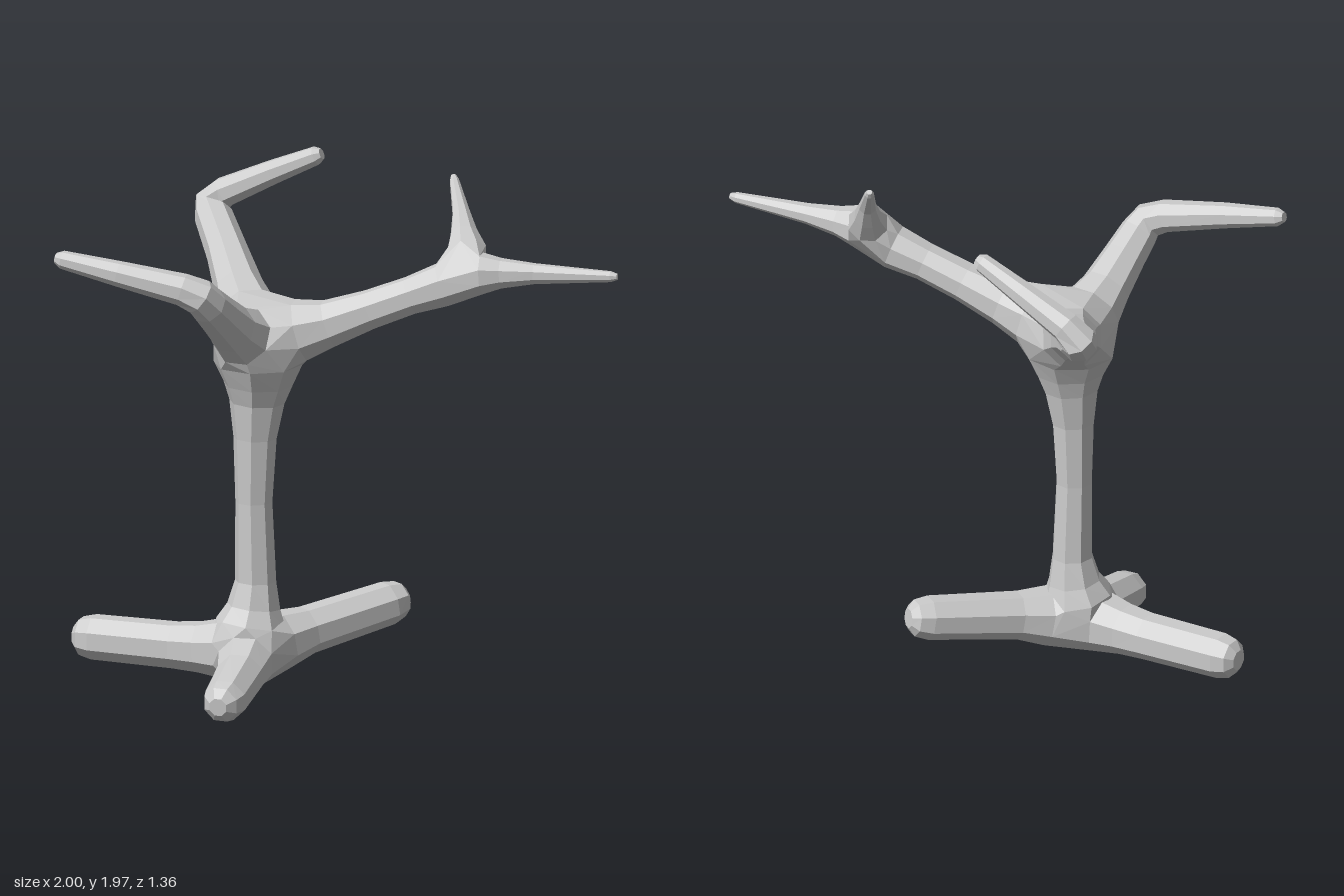
import * as THREE from 'three';
import { ConvexGeometry } from 'three/addons/geometries/ConvexGeometry.js';

const SIDES = 8;

// Octagonal rings along a path of [x, y, z, radius], with carried-over frames
function makeRings(path) {
  const pts = path.map(p => new THREE.Vector3(p[0], p[1], p[2]));
  const dirs = pts.map((p, i) => {
    const d = new THREE.Vector3();
    if (i > 0) d.add(p.clone().sub(pts[i - 1]).normalize());
    if (i < pts.length - 1) d.add(pts[i + 1].clone().sub(p).normalize());
    return d.normalize();
  });
  const u = Math.abs(dirs[0].y) > 0.9 ? new THREE.Vector3(1, 0, 0) : new THREE.Vector3(0, 1, 0);
  return pts.map((p, i) => {
    if (i > 0) u.applyQuaternion(new THREE.Quaternion().setFromUnitVectors(dirs[i - 1], dirs[i]));
    u.addScaledVector(dirs[i], -u.dot(dirs[i])).normalize();
    const v = dirs[i].clone().cross(u);
    return Array.from({ length: SIDES }, (_, j) => {
      const a = ((j + 0.5) / SIDES) * Math.PI * 2;
      return p.clone()
        .addScaledVector(u, Math.cos(a) * path[i][3])
        .addScaledVector(v, Math.sin(a) * path[i][3]);
    });
  });
}

// Skin between rings, closed at the far end
function limbGeometry(rings) {
  const verts = rings.flat();
  const idx = [];
  const last = rings.length - 1;
  const tip = rings[last].reduce((s, p) => s.add(p), new THREE.Vector3()).divideScalar(SIDES);
  verts.push(tip);
  for (let j = 0; j < SIDES; j++) {
    const k = (j + 1) % SIDES;
    for (let i = 0; i < last; i++) {
      const a = i * SIDES + j, b = i * SIDES + k;
      idx.push(a, b, a + SIDES, b, b + SIDES, a + SIDES);
    }
    idx.push(last * SIDES + j, last * SIDES + k, verts.length - 1);
  }
  const g = new THREE.BufferGeometry().setFromPoints(verts);
  g.setIndex(idx);
  g.computeVertexNormals();
  return g;
}

export function createModel() {
  const group = new THREE.Group();
  const mat = new THREE.MeshStandardMaterial({ color: 0xcccccc, flatShading: true });

  const add = (name, geo) => {
    const m = new THREE.Mesh(geo, mat);
    m.name = name;
    group.add(m);
  };
  const limb = (name, path) => {
    const rings = makeRings(path);
    add(name, limbGeometry(rings));
    return rings;
  };
  const hub = (name, ...rings) => add(name, new ConvexGeometry(rings.flat()));

  // Trunk, flared at both ends
  const trunk = limb('trunk', [
    [-0.31, 0.275, 0.005, 0.135], [-0.305, 0.34, -0.005, 0.102], [-0.3, 0.44, -0.01, 0.079],
    [-0.305, 0.75, -0.005, 0.071], [-0.3, 1.0, -0.005, 0.083], [-0.295, 1.14, -0.01, 0.106],
    [-0.29, 1.21, -0.01, 0.132], [-0.29, 1.29, -0.01, 0.17],
  ]);

  // Three blunt roots
  const rightRoot = limb('rightRoot', [
    [-0.41, 0.175, 0.05, 0.115], [-0.5, 0.17, 0.067, 0.098], [-0.6, 0.167, 0.085, 0.09],
    [-0.92, 0.168, 0.15, 0.087], [-0.97, 0.168, 0.16, 0.074], [-0.995, 0.168, 0.165, 0.04],
  ]);
  const frontRoot = limb('frontRoot', [
    [-0.27, 0.15, 0.11, 0.11], [-0.23, 0.128, 0.21, 0.092], [-0.165, 0.088, 0.42, 0.083],
    [-0.155, 0.083, 0.47, 0.07], [-0.148, 0.08, 0.5, 0.036],
  ]);
  const backRoot = limb('backRoot', [
    [-0.24, 0.2, -0.1, 0.113], [-0.19, 0.22, -0.2, 0.092], [-0.035, 0.273, -0.525, 0.084],
    [-0.013, 0.282, -0.575, 0.07], [-0.003, 0.285, -0.597, 0.038],
  ]);
  hub('rootHub', trunk[0], rightRoot[0], frontRoot[0], backRoot[0]);

  // Bent branches
  const backBranch = limb('backBranch', [
    [-0.42, 1.44, -0.14, 0.117], [-0.51, 1.5, -0.225, 0.095], [-0.65, 1.59, -0.365, 0.08],
    [-0.81, 1.68, -0.52, 0.073], [-0.838, 1.715, -0.555, 0.07], [-0.79, 1.76, -0.57, 0.06],
    [-0.6, 1.855, -0.612, 0.048], [-0.43, 1.935, -0.645, 0.037], [-0.408, 1.944, -0.65, 0.022],
  ]);
  const frontBranch = limb('frontBranch', [
    [-0.28, 1.425, 0.12, 0.117], [-0.268, 1.475, 0.21, 0.095], [-0.25, 1.555, 0.33, 0.082],
    [-0.238, 1.62, 0.425, 0.074], [-0.25, 1.66, 0.465, 0.07], [-0.31, 1.687, 0.495, 0.062],
    [-0.54, 1.735, 0.58, 0.049], [-0.75, 1.775, 0.645, 0.035], [-0.775, 1.78, 0.652, 0.02],
  ]);

  // Forked branch and its two twigs
  const leftBranch = limb('leftBranch', [
    [-0.14, 1.425, -0.075, 0.12], [-0.04, 1.455, -0.115, 0.092], [0.1, 1.515, -0.18, 0.076],
    [0.24, 1.575, -0.245, 0.073], [0.35, 1.62, -0.3, 0.085],
  ]);
  hub('branchHub', trunk[trunk.length - 1], backBranch[0], frontBranch[0], leftBranch[0]);

  const longTwig = limb('longTwig', [
    [0.5, 1.675, -0.345, 0.08], [0.57, 1.68, -0.37, 0.058], [0.69, 1.686, -0.412, 0.04],
    [0.97, 1.693, -0.505, 0.021], [0.995, 1.694, -0.512, 0.012],
  ]);
  const shortTwig = limb('shortTwig', [
    [0.395, 1.74, -0.395, 0.078], [0.358, 1.795, -0.437, 0.052], [0.322, 1.86, -0.475, 0.034],
    [0.25, 1.96, -0.542, 0.018], [0.24, 1.975, -0.552, 0.01],
  ]);
  hub('forkHub', leftBranch[leftBranch.length - 1], longTwig[0], shortTwig[0]);

  return group;
}
